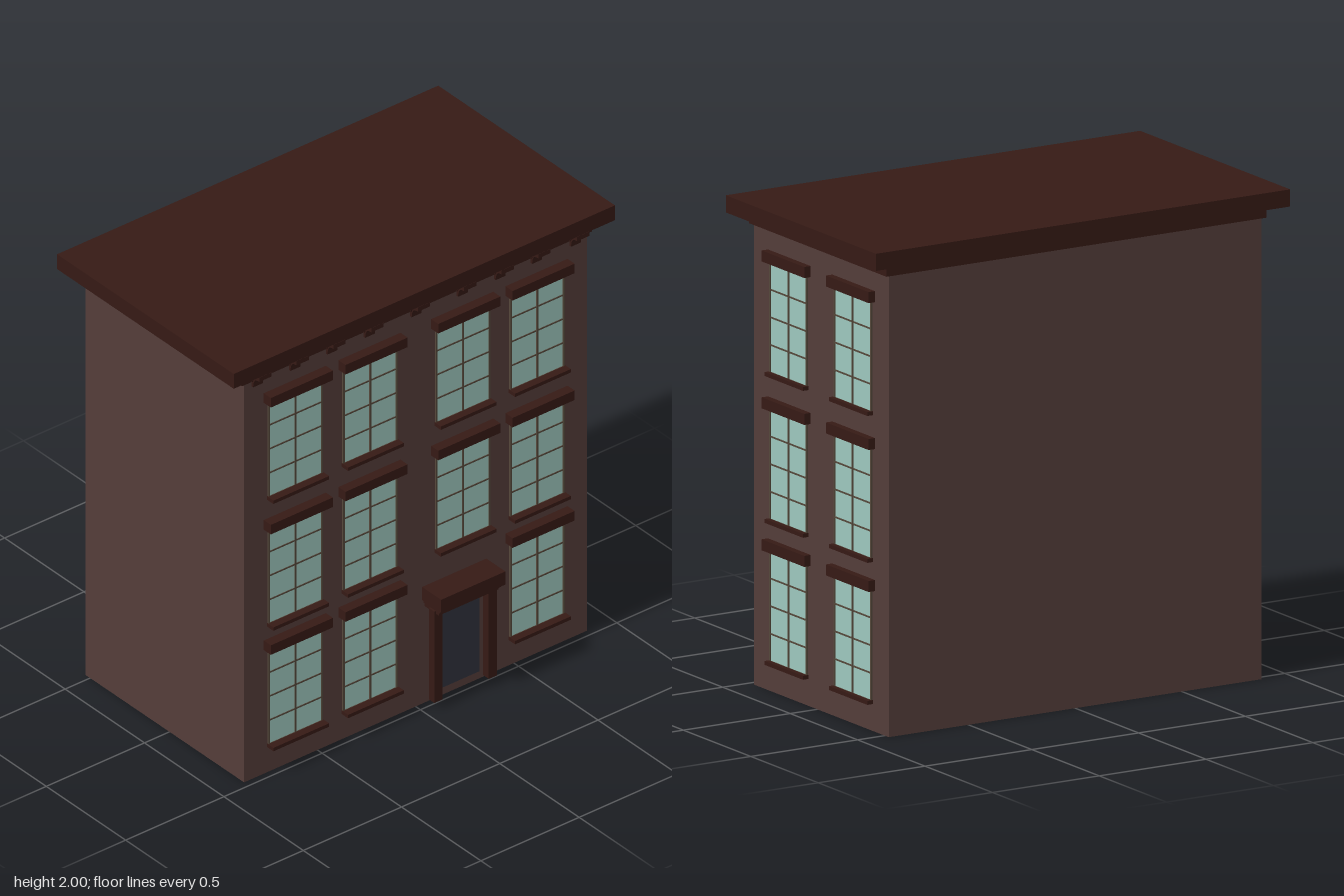
import * as THREE from 'three';

const mat = (color) => new THREE.MeshStandardMaterial({ color });
const WALL = mat(0x543d3a), TRIM = mat(0x361a15), GLASS = mat(0x9ec8be);
const BAR = mat(0x55483b), DOOR = mat(0x30323c);

// Box given by its min and max along each axis
function box(name, material, [x0, x1], [y0, y1], [z0, z1]) {
  const mesh = new THREE.Mesh(new THREE.BoxGeometry(x1 - x0, y1 - y0, z1 - z0), material);
  mesh.position.set((x0 + x1) / 2, (y0 + y1) / 2, (z0 + z1) / 2);
  mesh.name = name;
  return mesh;
}

// Window facing +z, with its sill bottom at y = 0 and the wall at z = 0
function makeWindow(reach) {
  const g = new THREE.Group();
  g.name = 'window';
  const w = 0.135, y0 = 0.013, y1 = 0.465, t = 0.004;
  g.add(box('glass', GLASS, [-w, w], [y0, y1], [-0.01, 0.003]));
  // frame and glazing bars
  for (const x of [-w, 0, w])
    g.add(box('verticalBar', BAR, [x - t, x + t], [y0, y1], [-0.01, 0.007]));
  for (let i = 0; i <= 4; i++) {
    const y = y0 + (y1 - y0) * i / 4;
    g.add(box('horizontalBar', BAR, [-w, w], [y - t * 0.8, y + t * 0.8], [-0.01, 0.006]));
  }
  g.add(box('sill', TRIM, [-0.142, 0.142], [0, 0.016], [-0.01, reach - 0.004]));
  g.add(box('lintel', TRIM, [-0.158, 0.158], [0.465, 0.51], [-0.01, reach]));
  return g;
}

// Curved cornice bracket, extruded across x
function makeBracket() {
  const g = new THREE.Group();
  g.name = 'bracket';
  const scroll = (width, bottom, depth) => {
    const s = new THREE.Shape();
    s.moveTo(0, 1.93);
    s.lineTo(depth, 1.93);
    s.lineTo(depth, 1.91);
    s.quadraticCurveTo(0.012, 1.905, 0.01, bottom);
    s.lineTo(0, bottom);
    s.closePath();
    const geo = new THREE.ExtrudeGeometry(s, { depth: width, bevelEnabled: false, curveSegments: 8 });
    geo.translate(0, 0, -width / 2);
    geo.rotateY(-Math.PI / 2);
    return new THREE.Mesh(geo, TRIM);
  };
  g.add(scroll(0.062, 1.885, 0.056), scroll(0.05, 1.858, 0.05));
  g.position.z = 0.47;
  return g;
}

export function createModel() {
  const model = new THREE.Group();
  model.name = 'townhouse';

  // Walls
  model.add(box('walls', WALL, [-0.873, 0.873], [0, 1.9], [-0.53, 0.47]));

  // Cornice and roof
  model.add(box('frieze', TRIM, [-0.89, 0.89], [1.885, 1.935], [-0.54, 0.478]));
  model.add(box('roofSlab', TRIM, [-0.97, 0.97], [1.93, 2], [-0.588, 0.525]));
  for (const x of [-0.81, -0.62, -0.432, -0.24, -0.003, 0.233, 0.424, 0.61, 0.808]) {
    const b = makeBracket();
    b.position.x = x;
    model.add(b);
  }

  // Front windows, leaving room for the door
  [0.12, 0.69, 1.29].forEach((y, row) => {
    for (const x of [-0.615, -0.235, 0.237, 0.615]) {
      if (row === 0 && x === 0.237) continue;
      const w = makeWindow(0.045);
      w.position.set(x, y, 0.47);
      model.add(w);
    }
  });

  // Left side windows
  for (const y of [0.11, 0.69, 1.29]) {
    for (const z of [0.207, -0.27]) {
      const w = makeWindow(0.03);
      w.position.set(0.873, y, z);
      w.rotation.y = Math.PI / 2;
      model.add(w);
    }
  }

  // Entrance
  const entrance = new THREE.Group();
  entrance.name = 'entrance';
  entrance.add(box('door', DOOR, [0.075, 0.318], [0.04, 0.46], [0.46, 0.478]));
  for (const x of [0.058, 0.335])
    entrance.add(box('post', TRIM, [x - 0.021, x + 0.021], [0.038, 0.47], [0.507, 0.542]));
  entrance.add(box('beam', TRIM, [0.045, 0.348], [0.457, 0.49], [0.46, 0.56]));
  entrance.add(box('beamMoulding', TRIM, [0.04, 0.353], [0.475, 0.495], [0.46, 0.574]));
  entrance.add(box('canopy', TRIM, [0.033, 0.36], [0.49, 0.552], [0.46, 0.59]));
  model.add(entrance);

  return model;
}
